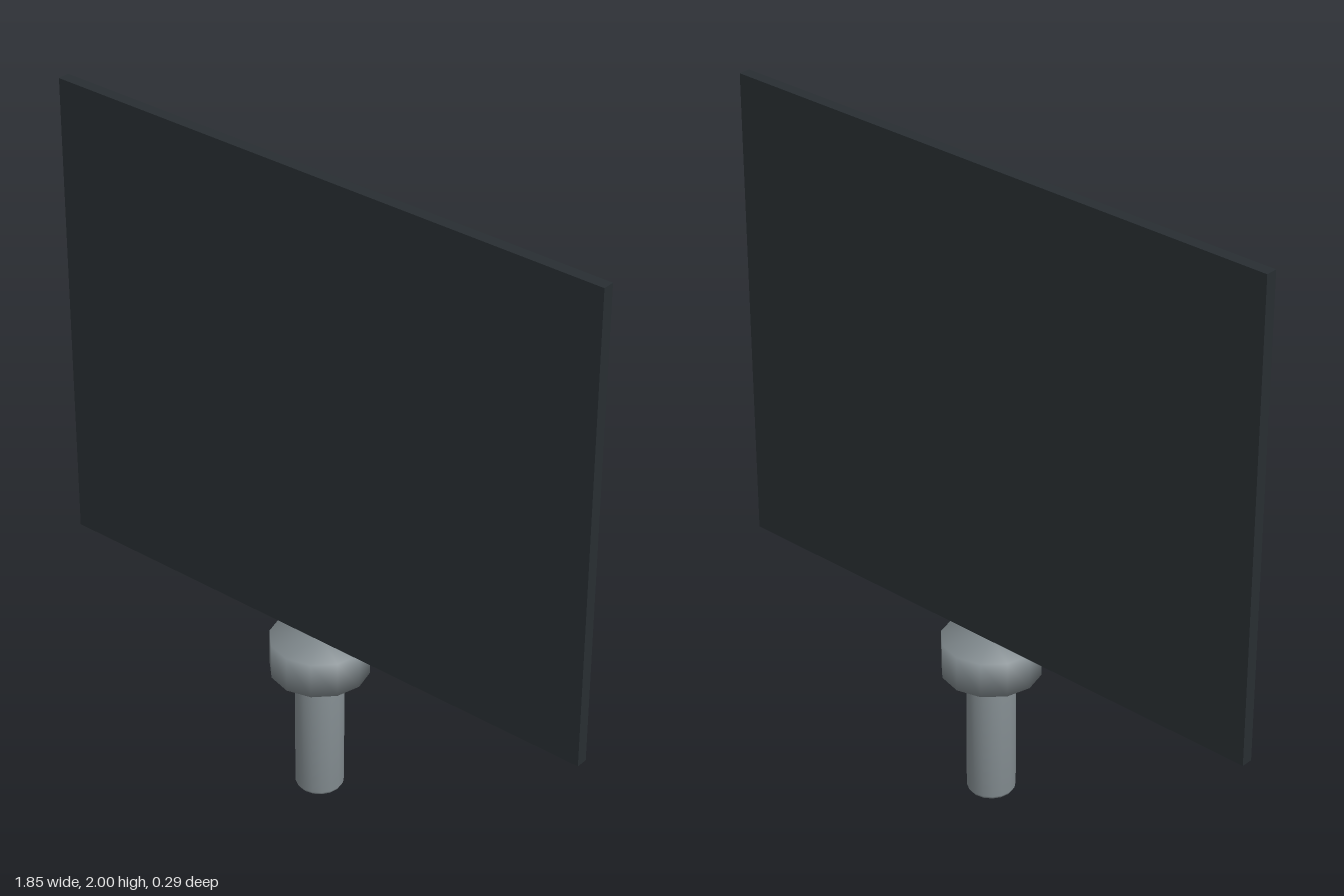
import * as THREE from 'three';

const panelMaterial = new THREE.MeshStandardMaterial({ color: 0x282e32 });
const metalMaterial = new THREE.MeshStandardMaterial({ color: 0x80898d });

// Solid of revolution; profile runs bottom to top as [radius, y]
function turned(name, profile, sides) {
  const points = profile.map(([r, y]) => new THREE.Vector2(r, y));
  const mesh = new THREE.Mesh(new THREE.LatheGeometry(points, sides), metalMaterial);
  mesh.name = name;
  return mesh;
}

export function createModel() {
  const model = new THREE.Group();
  model.name = 'signPanelOnPost';

  // Thin upright panel
  const bottom = 0.523, top = 2;
  const panel = new THREE.Mesh(new THREE.BoxGeometry(1.85, top - bottom, 0.036), panelMaterial);
  panel.position.y = (top + bottom) / 2;
  panel.name = 'panel';

  // Twelve-sided collar under the panel
  const collar = turned('collar', [[0, 0.412], [0.147, 0.412], [0.147, 0.523], [0, 0.523]], 12);

  // Round post with a slightly eased foot
  const post = turned('post', [[0, 0], [0.066, 0], [0.072, 0.01], [0.072, 0.42], [0, 0.42]], 16);

  model.add(panel, collar, post);
  return model;
}
